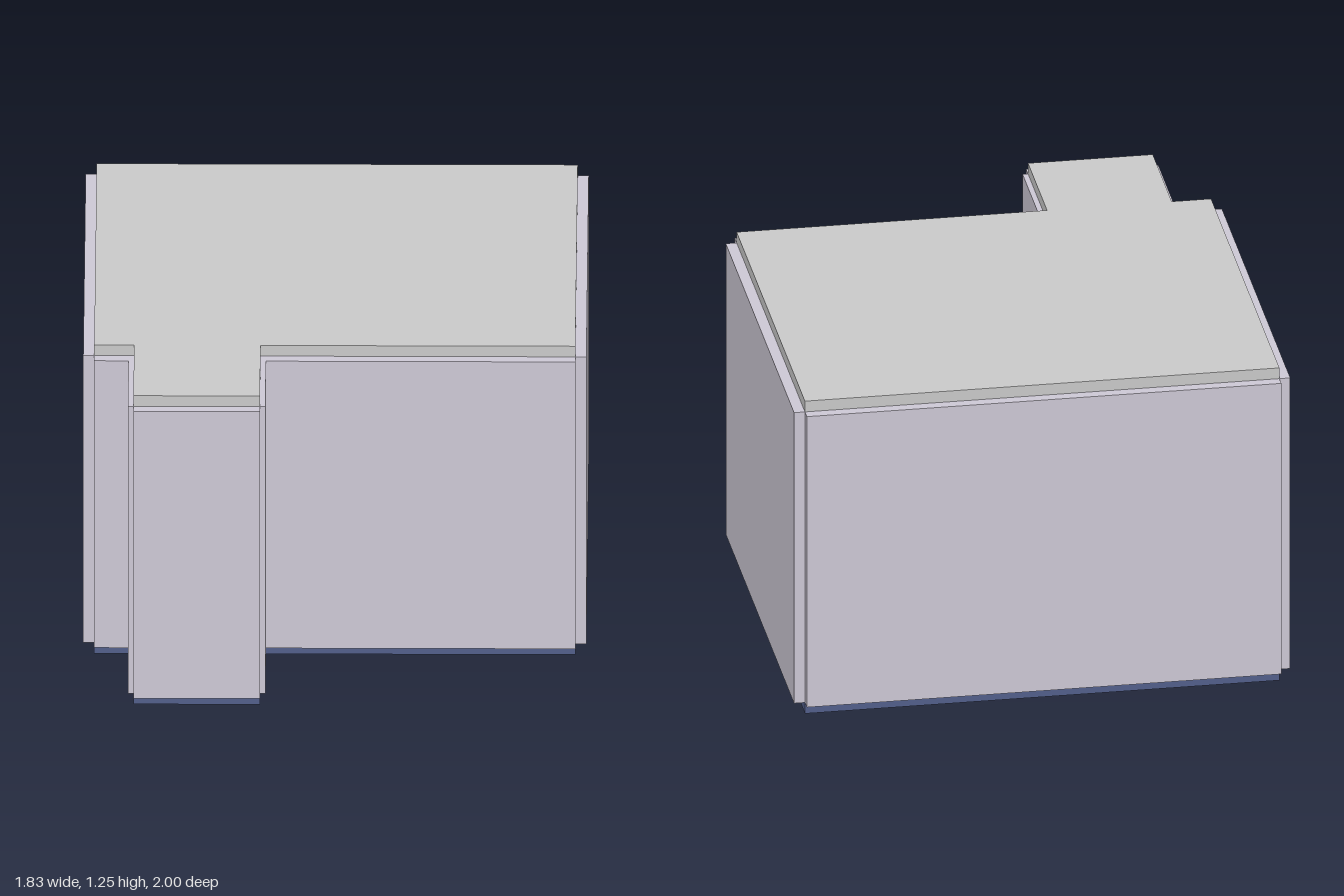
import * as THREE from 'three';

const mat = (color) => new THREE.MeshStandardMaterial({ color, flatShading: true });

export function createModel() {
  const room = new THREE.Group();
  room.name = 'room';
  const wallMat = mat(0xcfcad7), ceilingMat = mat(0xd6d5d8), floorMat = mat(0x53608c), paneMat = mat(0xcccccc);

  const W = 0.875, BACK = -0.957, FRONT = 0.54, BAY = 0.957; // inside limits of the plan
  const BX0 = -0.73, BX1 = -0.27;                            // bay sides
  const Y0 = 0.044, Y1 = 1.207, TOP = 1.25;                  // wall bottom, wall top, roof top
  const T = 0.042, THIN = 0.02;                              // wall thicknesses

  const add = (name, geometry, material) => {
    const mesh = new THREE.Mesh(geometry, material);
    mesh.name = name;
    room.add(mesh);
    return mesh;
  };
  const box = (name, x0, x1, y0, y1, z0, z1, material = wallMat) =>
    add(name, new THREE.BoxGeometry(x1 - x0, y1 - y0, z1 - z0), material)
      .position.set((x0 + x1) / 2, (y0 + y1) / 2, (z0 + z1) / 2);

  // Floor and ceiling slabs share one plan; shape y becomes z
  const plan = [[-W, BACK], [W, BACK], [W, FRONT], [BX1, FRONT], [BX1, BAY], [BX0, BAY], [BX0, FRONT], [-W, FRONT]];
  const slab = (name, y0, y1, material) => {
    const shape = new THREE.Shape(plan.map(([x, z]) => new THREE.Vector2(x, z)));
    const g = new THREE.ExtrudeGeometry(shape, { depth: y1 - y0, bevelEnabled: false });
    g.rotateX(Math.PI / 2); // extrudes downwards from the slab top
    add(name, g, material).position.y = y1;
  };
  slab('floor', 0, Y0, floorMat);
  slab('ceiling', Y1, TOP, ceilingMat);

  // Plain walls, set outside the plan so the outer corners stay open
  box('backWall', -W, W, Y0, Y1, BACK - T, BACK);
  box('leftWall', W, W + T - 0.002, Y0, Y1, BACK, FRONT);
  box('frontWallLeft', BX1, W, Y0, Y1, FRONT, FRONT + T);
  box('frontWallRight', -W, BX0, Y0, Y1, FRONT, FRONT + T);
  box('bayFrontWall', BX0, BX1, Y0, Y1, BAY, BAY + T);
  box('bayLeftWall', BX1, BX1 + THIN, Y0, Y1, FRONT, BAY);
  box('bayRightWall', BX0 - THIN, BX0, Y0, Y1, FRONT, BAY);

  // Right wall with a window opening
  const win = { z0: -0.71, z1: -0.2, y0: 0.4, y1: 0.97 };
  const rect = (Type, a0, b0, a1, b1) => new Type([[a0, b0], [a1, b0], [a1, b1], [a0, b1]]
    .map(([a, b]) => new THREE.Vector2(a, b)));
  const wallShape = rect(THREE.Shape, BACK, Y0, FRONT, Y1);
  wallShape.holes.push(rect(THREE.Path, win.z0, win.y0, win.z1, win.y1));
  const wallGeo = new THREE.ExtrudeGeometry(wallShape, { depth: T - 0.002, bevelEnabled: false });
  wallGeo.rotateY(-Math.PI / 2); // shape x becomes z, depth runs towards -x
  add('rightWall', wallGeo, wallMat).position.x = -W;

  // Recessed window pane
  box('windowPane', -W - 0.022, -W - 0.012, win.y0, win.y1, win.z0, win.z1, paneMat);

  return room;
}
